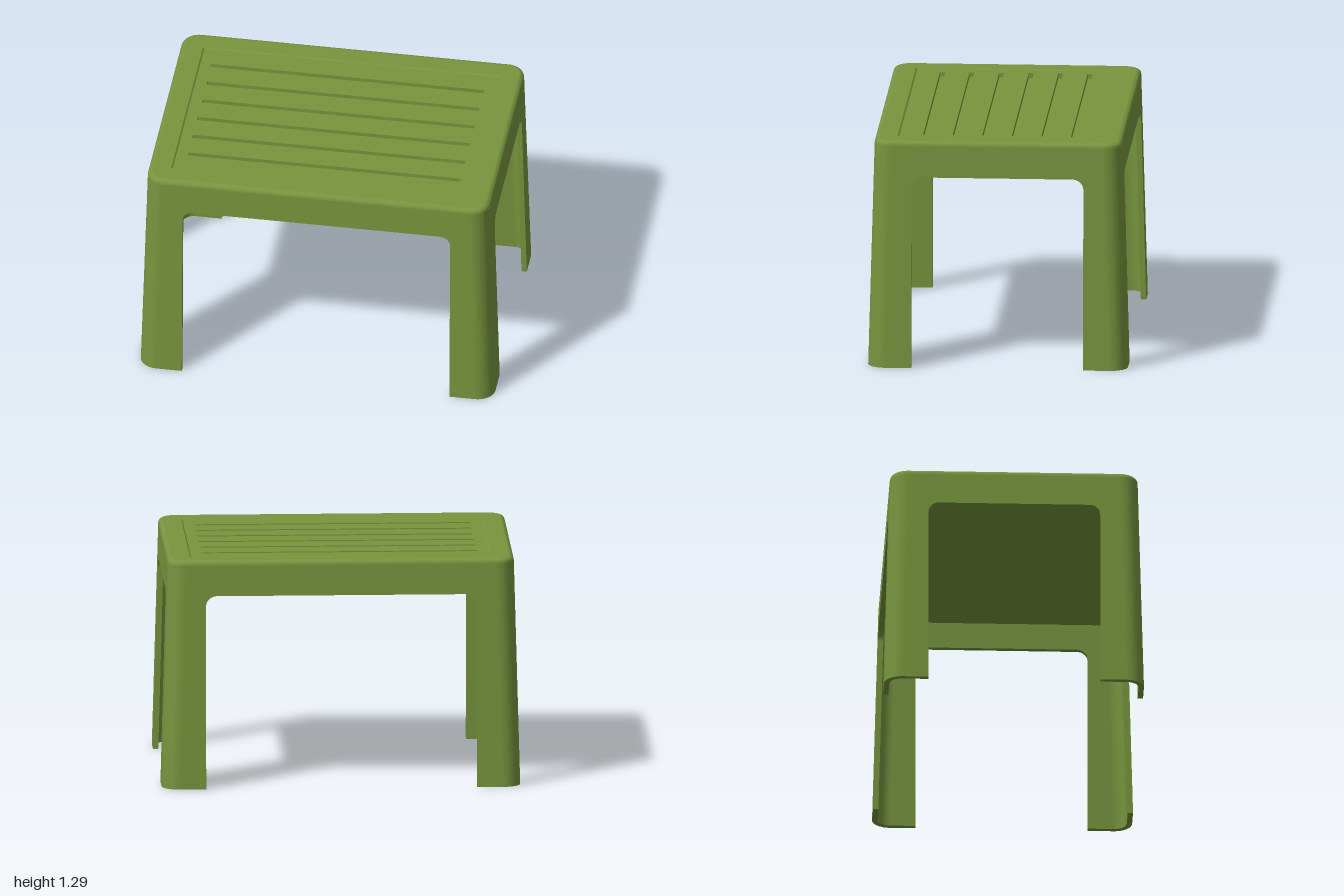
import * as THREE from 'three';
import { toCreasedNormals } from 'three/addons/utils/BufferGeometryUtils.js';

const HX = 1, HZ = 0.725;      // half size at the floor
const H = 1.29, EDGE = 0.028;  // height, rounding of the top edge
const WALL_H = H - EDGE;
const LEAN = 0.027;            // inward lean of the walls per unit of height
const CORNER = 0.1, T = 0.03;  // corner radius, wall thickness

// Rounded rectangle outline, counter-clockwise
function outline(hx, hz, r, steps = 8) {
  const pts = [];
  [[1, 1], [-1, 1], [-1, -1], [1, -1]].forEach(([sx, sy], q) => {
    for (let i = 0; i <= steps; i++) {
      const a = (q + (steps ? i / steps : 0)) * Math.PI / 2;
      pts.push(new THREE.Vector2(
        sx * (hx - r) + r * Math.cos(a), sy * (hz - r) + r * Math.sin(a)));
    }
  });
  return pts;
}

// Skin between closed outlines at given heights
function loft(rings) {
  const pos = [], index = [], n = rings[0].pts.length;
  rings.forEach(({ pts, y }) => pts.forEach(p => pos.push(p.x, y, -p.y)));
  for (let j = 0; j < rings.length - 1; j++) {
    for (let i = 0; i < n; i++) {
      const a = j * n + i, b = j * n + (i + 1) % n;
      index.push(a, b, b + n, a, b + n, a + n);
    }
  }
  const g = new THREE.BufferGeometry();
  g.setAttribute('position', new THREE.Float32BufferAttribute(pos, 3));
  g.setIndex(index);
  return toCreasedNormals(g, 0.6);
}

// Lean a geometry inward as it rises
function lean(g, dx, dz) {
  const p = g.attributes.position;
  for (let i = 0; i < p.count; i++) {
    const s = LEAN * p.getY(i);
    p.setX(i, p.getX(i) + dx * s);
    p.setZ(i, p.getZ(i) + dz * s);
  }
  return toCreasedNormals(g, 0.6);
}

// Flat slab lying between two heights
function slab(shape, y0, y1) {
  const g = new THREE.ExtrudeGeometry(shape, { depth: y1 - y0, bevelEnabled: false });
  return g.rotateX(-Math.PI / 2).translate(0, y0, 0);
}

// Wall with an arched opening between the legs
function wall(half, dist, open, openH) {
  const w = half - CORNER, r = 0.06;
  const s = new THREE.Shape();
  s.moveTo(open, 0);
  s.lineTo(w, 0);
  s.lineTo(w - LEAN * WALL_H, WALL_H);
  s.lineTo(-w + LEAN * WALL_H, WALL_H);
  s.lineTo(-w, 0);
  s.lineTo(-open, 0);
  s.lineTo(-open, openH - r);
  s.absarc(-open + r, openH - r, r, Math.PI, Math.PI / 2, true);
  s.absarc(open - r, openH - r, r, Math.PI / 2, 0, true);
  s.closePath();
  const g = new THREE.ExtrudeGeometry(s, { depth: T, bevelEnabled: false, curveSegments: 8 });
  return lean(g.translate(0, 0, dist - T), 0, -1);
}

export function createModel() {
  const group = new THREE.Group();
  const green = new THREE.MeshStandardMaterial({ color: 0x78943e });
  green.name = 'olive green plastic';
  const add = (name, geometry) => {
    const m = new THREE.Mesh(geometry, green);
    m.name = name;
    group.add(m);
    return m;
  };

  // Four walls
  const longWall = wall(HX, HZ, 0.755, 1.09);
  const shortWall = wall(HZ, HX, 0.48, 1.085);
  add('frontWall', longWall);
  add('backWall', longWall).rotation.y = Math.PI;
  add('leftWall', shortWall).rotation.y = Math.PI / 2;
  add('rightWall', shortWall).rotation.y = -Math.PI / 2;

  // Rounded leg corners, one shape turned four times
  const arc = new THREE.Shape();
  arc.absarc(0, 0, CORNER, 0, Math.PI / 2, false);
  arc.absarc(0, 0, CORNER - T, Math.PI / 2, 0, true);
  arc.closePath();
  const cornerGeo = new THREE.ExtrudeGeometry(arc, { depth: WALL_H, bevelEnabled: false, curveSegments: 8 });
  lean(cornerGeo.rotateX(-Math.PI / 2), 0, 0);
  const corner = lean(cornerGeo, -1, 1);
  [[1, -1], [-1, -1], [-1, 1], [1, 1]].forEach(([sx, sz], i) => {
    const m = add('legCorner', corner);
    m.position.set(sx * (HX - CORNER), 0, sz * (HZ - CORNER));
    m.rotation.y = i * Math.PI / 2;
  });

  // Rounded top edge
  const tx = HX - LEAN * WALL_H, tz = HZ - LEAN * WALL_H;
  const rings = [];
  for (let i = 0; i <= 6; i++) {
    const a = i / 6 * Math.PI / 2, d = EDGE * (1 - Math.cos(a));
    rings.push({ pts: outline(tx - d, tz - d, CORNER - d), y: WALL_H + EDGE * Math.sin(a) });
  }
  add('topEdge', loft(rings));

  // Flat border around the recessed panel
  const px = 0.84, pz = 0.565, step = 0.008;
  const border = new THREE.Shape(outline(tx - EDGE, tz - EDGE, CORNER - EDGE));
  border.holes.push(new THREE.Path(outline(px, pz, 0, 0).reverse()));
  add('topBorder', new THREE.ShapeGeometry(border).rotateX(-Math.PI / 2).translate(0, H, 0));
  add('recessStep', loft([
    { pts: outline(px, pz, 0, 0), y: H },
    { pts: outline(px - step, pz - step, 0, 0), y: H - step },
  ]));

  // Recessed panel with six grooves
  const panel = new THREE.Shape(outline(px - step, pz - step, 0, 0));
  for (let i = 0; i < 6; i++) {
    const z = (i - 2.5) * 0.165;
    panel.holes.push(new THREE.Path(
      outline(0.768, 0.014, 0, 0).map(p => p.setY(p.y + z)).reverse()));
  }
  const floorY = H - 0.035;
  add('groovedPanel', slab(panel, floorY, H - step));

  // Plate closing the grooves from below
  add('underside', slab(new THREE.Shape(outline(tx - 0.01, tz - 0.01, CORNER - 0.01)), floorY - 0.02, floorY));

  return group;
}
